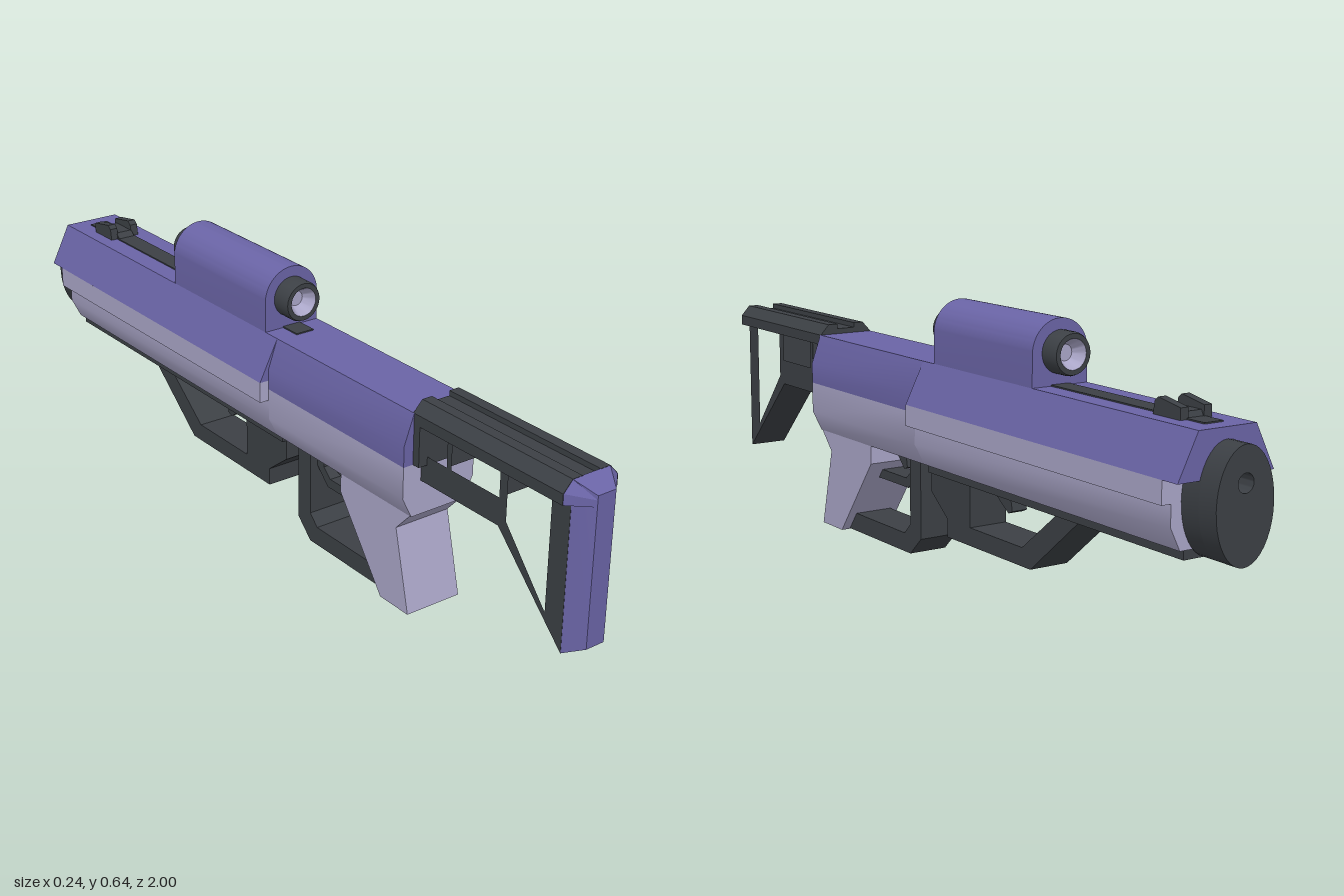
import * as THREE from 'three';
import { toCreasedNormals } from 'three/addons/utils/BufferGeometryUtils.js';

const paint = (color) => new THREE.MeshStandardMaterial({ color });

export function createModel() {
  const group = new THREE.Group();
  const purple = paint(0x6a64a6), lilac = paint(0xaaa6c8), dark = paint(0x3c4045);

  const add = (name, geometry, material) => {
    const mesh = new THREE.Mesh(toCreasedNormals(geometry, 0.5), material);
    mesh.name = name;
    group.add(mesh);
    return mesh;
  };
  const toPoints = (list, flip = 1) => list.map(([a, b]) => new THREE.Vector2(a * flip, b));

  // Side outline of [z, y] corners, extruded across x between x0 and x1
  const sidePart = (name, outline, x0, x1, material, holes = []) => {
    const shape = new THREE.Shape(toPoints(outline, -1));
    holes.forEach((h) => shape.holes.push(new THREE.Path(toPoints(h, -1))));
    const g = new THREE.ExtrudeGeometry(shape, { depth: x1 - x0, bevelEnabled: false });
    return add(name, g.rotateY(Math.PI / 2).translate(x0, 0, 0), material);
  };
  // Cross-section shape, extruded along z between z0 and z1
  const longPart = (name, shape, z0, z1, material) => {
    const g = new THREE.ExtrudeGeometry(shape, { depth: z1 - z0, bevelEnabled: false, curveSegments: 20 });
    return add(name, g.translate(0, 0, z0), material);
  };
  // Half section on +x, from bottom to top, closed by its mirror image
  const mirrored = (half) => [...half, ...half.slice().reverse().map(([x, y]) => [-x, y])];
  const section = (half) => new THREE.Shape(toPoints(mirrored(half)));

  // Rear receiver
  longPart('rearReceiverLower', section([[0.073, 0.245], [0.098, 0.295], [0.098, 0.37]]), 0.02, 0.513, lilac);
  longPart('rearReceiverUpper', section([[0.098, 0.37], [0.098, 0.42], [0.073, 0.49]]), 0.02, 0.513, purple);

  // Front body with a stepped side and an overhanging cover
  longPart('frontBody', section([[0.073, 0.245], [0.098, 0.295], [0.098, 0.342], [0.122, 0.342], [0.122, 0.392]]),
    -0.9, 0.022, lilac);
  longPart('frontCover', section([[0.122, 0.392], [0.073, 0.49]]), -0.945, 0.022, purple);

  // Muzzle with a bore
  const muzzle = () => new THREE.Shape().absellipse(0, 0.345, 0.073, 0.121, 0, Math.PI * 2);
  longPart('muzzleBase', muzzle(), -0.95, -0.9, dark);
  const bored = muzzle();
  bored.holes.push(new THREE.Path().absarc(0, 0.39, 0.02, 0, Math.PI * 2));
  longPart('muzzleFace', bored, -1, -0.95, dark);

  // Top strip and front sight
  longPart('topStrip', section([[0.024, 0.48], [0.024, 0.493]]), -0.905, 0.03, dark);
  for (const s of [-1, 1]) {
    sidePart('sightWing', [[-0.77, 0.488], [-0.775, 0.518], [-0.785, 0.527], [-0.853, 0.515], [-0.853, 0.488]],
      s * 0.03 - 0.01, s * 0.03 + 0.01, dark);
  }
  sidePart('sightBase', [[-0.755, 0.488], [-0.775, 0.505], [-0.845, 0.505], [-0.853, 0.488]], -0.022, 0.022, dark);

  // Scope housing with a rounded top
  const housing = new THREE.Shape();
  housing.moveTo(-0.073, 0.485);
  housing.lineTo(0.073, 0.485);
  housing.lineTo(0.073, 0.563);
  housing.absarc(0, 0.563, 0.073, 0, Math.PI);
  longPart('scopeHousing', housing, -0.41, -0.024, purple);

  // Scope tube ends with recessed lenses
  const lathe = (pts) => new THREE.LatheGeometry(toPoints(pts), 28);
  for (const [s, tip] of [[1, 0.024], [-1, -0.457]]) {
    const place = (g) => g.rotateX(s * Math.PI / 2).translate(0, 0.563, tip);
    add('scopeEnd', place(lathe([[0.048, -0.06], [0.048, -0.008], [0.045, 0], [0.034, 0]])), dark);
    add('scopeLens', place(lathe([[0.034, 0], [0.018, -0.03], [0, -0.03]])), lilac);
  }

  // Rear grip, its hand guard and trigger
  sidePart('rearGrip', [[0.513, 0.25], [0.463, 0.197], [0.51, 0], [0.414, 0], [0.265, 0.2], [0.265, 0.25]],
    -0.073, 0.073, lilac);
  sidePart('handGuard', [[0.42, 0.002], [0.12, 0.002], [0.072, 0.048], [0.072, 0.25],
    [0.12, 0.25], [0.12, 0.075], [0.147, 0.048], [0.38, 0.048]], -0.05, 0.05, dark);
  sidePart('triggerGuard', [[0.31, 0.155], [0.16, 0.155], [0.12, 0.195], [0.12, 0.25],
    [0.145, 0.25], [0.145, 0.2], [0.17, 0.178], [0.29, 0.178]], -0.03, 0.03, dark);
  const trigger = [[0.25, 0.25], [0.195, 0.195], [0.18, 0.2], [0.19, 0.25]];
  sidePart('rearTrigger', trigger, -0.02, 0.02, dark);

  // Underside rail, front grip loop and front trigger
  longPart('lowerRail', section([[0.06, 0.224], [0.06, 0.25]]), -0.896, 0.022, dark);
  sidePart('frontGrip', [[0.024, 0.25], [0.024, 0.176], [-0.045, 0.123], [-0.045, 0.08],
    [-0.377, 0.08], [-0.553, 0.226], [-0.553, 0.25]], -0.05, 0.05, dark,
  [[[-0.14, 0.225], [-0.14, 0.123], [-0.345, 0.123], [-0.473, 0.225]]]);
  sidePart('frontTrigger', [[-0.17, 0.23], [-0.25, 0.176], [-0.265, 0.183], [-0.255, 0.23]], -0.02, 0.02, dark);

  // Stock: grooved top bar, mounting plate and open frame
  longPart('stockTopBar', section([[0.073, 0.465], [0.073, 0.49], [0.05, 0.515], [0.024, 0.515], [0.024, 0.503]]),
    0.51, 0.956, dark);
  longPart('stockMount', section([[0.073, 0.37], [0.073, 0.47]]), 0.51, 0.532, dark);
  sidePart('stockFrame', [[0.956, 0.125], [0.956, 0.47], [0.51, 0.47], [0.51, 0.326], [0.757, 0.326]],
    -0.05, 0.05, dark, [
      [[0.905, 0.195], [0.905, 0.465], [0.78, 0.465], [0.78, 0.345]],
      [[0.757, 0.39], [0.757, 0.465], [0.61, 0.465], [0.61, 0.39]],
      [[0.595, 0.39], [0.595, 0.465], [0.532, 0.465], [0.532, 0.39]],
    ]);

  // Butt plate: a T-shaped outline tapering to a narrow rear face
  const base = mirrored([[0.05, 0.125], [0.05, 0.465], [0.073, 0.465], [0.073, 0.49], [0.05, 0.515]]);
  const face = mirrored([[0.024, 0.147], [0.024, 0.465], [0.024, 0.465], [0.024, 0.48], [0.024, 0.49]]);
  const corners = [];
  base.forEach((p, i) => {
    const j = (i + 1) % base.length;
    const [a, b] = [[...p, 0.955], [...base[j], 0.955]];
    const [c, d] = [[...face[j], 1], [...face[i], 1]];
    corners.push(...a, ...b, ...c, ...a, ...c, ...d, ...d, ...c, 0, 0.32, 1);
  });
  const butt = new THREE.BufferGeometry();
  butt.setAttribute('position', new THREE.Float32BufferAttribute(corners, 3));
  butt.computeVertexNormals();
  add('buttPlate', butt, purple);

  return group;
}
